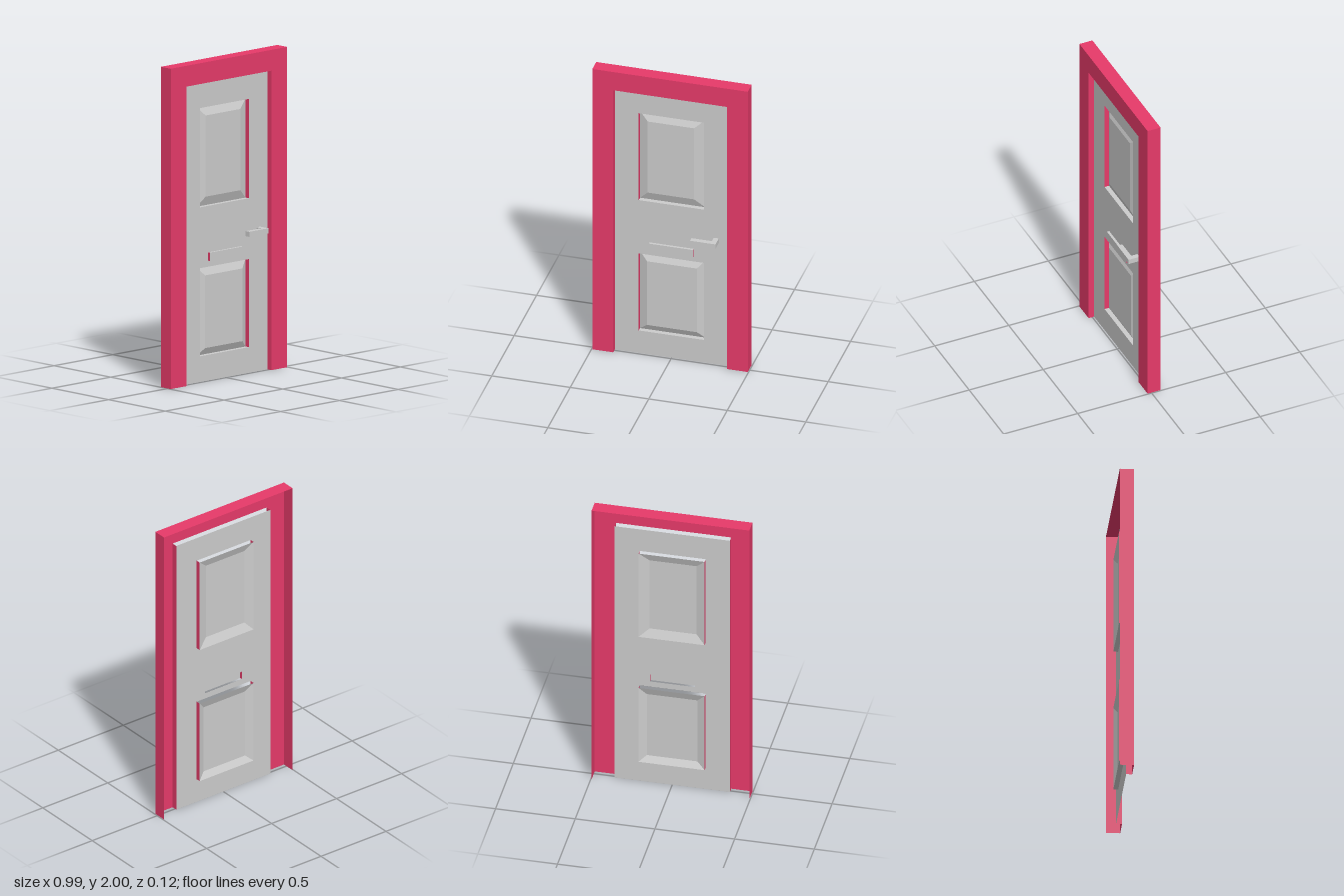
import * as THREE from 'three';

const mat = (color, side) => new THREE.MeshStandardMaterial({ color, side, flatShading: true });

// depths (z) of the layers, back to front
const Z = { back: -0.0625, rim: -0.042, field: -0.02, door: -0.012, slot: 0.004, front: 0.025, tip: 0.0625 };

const rectPoints = ([x0, x1, y0, y1]) =>
  [[x0, y0], [x1, y0], [x1, y1], [x0, y1]].map(([x, y]) => new THREE.Vector2(x, y));

export function createModel() {
  const model = new THREE.Group();
  const red = mat(0xe63a69, THREE.DoubleSide);
  const grey = mat(0xcccccc, THREE.DoubleSide);
  const greyFront = mat(0xcccccc, THREE.FrontSide);

  const add = (name, geometry, material, parent = model) => {
    const mesh = new THREE.Mesh(geometry, material);
    mesh.name = name;
    parent.add(mesh);
    return mesh;
  };

  // flat sheet facing +z, with optional rectangular holes
  const sheet = (name, points, z, material, parent, holes = []) => {
    const shape = new THREE.Shape(points);
    holes.forEach(h => shape.holes.push(new THREE.Path(rectPoints(h))));
    add(name, new THREE.ShapeGeometry(shape).translate(0, 0, z), material, parent);
  };

  // four-cornered face, corners anticlockwise from its front
  const quad = (name, [a, b, c, d], material, parent) => {
    const g = new THREE.BufferGeometry();
    g.setAttribute('position', new THREE.Float32BufferAttribute([...a, ...b, ...c, ...a, ...c, ...d], 3));
    g.computeVertexNormals();
    add(name, g, material, parent);
  };

  // side wall in the x plane, and level wall in the y plane (facing up or down)
  const sideWall = (name, x, y0, y1, z0, z1, parent) =>
    quad(name, [[x, y0, z1], [x, y0, z0], [x, y1, z0], [x, y1, z1]], red, parent);
  const levelWall = (name, y, x0, x1, z0, z1, up, material, parent) => {
    const c = [[x0, y, z1], [x1, y, z1], [x1, y, z0], [x0, y, z0]];
    quad(name, up ? c : c.reverse(), material, parent);
  };

  // frame: an open-backed shell around the doorway
  const W = 0.495, w = 0.362, H = 2, h = 1.87;
  const frame = new THREE.Group();
  frame.name = 'frame';
  model.add(frame);
  const arch = [[-W, 0], [-w, 0], [-w, h], [w, h], [w, 0], [W, 0], [W, H], [-W, H]]
    .map(([x, y]) => new THREE.Vector2(x, y));
  sheet('frameFace', arch, Z.front, red, frame);
  for (const s of [-1, 1]) {
    sideWall('frameSide', s * W, 0, H, Z.back, Z.front, frame);
    sideWall('doorwaySide', s * w, 0, h, Z.door, Z.front, frame);
  }
  levelWall('frameTop', H, -W, W, Z.back, Z.front, true, red, frame);
  levelWall('doorwayTop', h, -w, w, Z.door, Z.front, false, greyFront, frame);

  // door leaf with openings for two panels and the letter slot
  const panels = [
    { name: 'upperPanel', outer: [-0.21, 0.205, 1.09, 1.71], inner: [-0.155, 0.14, 1.148, 1.655] },
    { name: 'lowerPanel', outer: [-0.21, 0.205, 0.16, 0.71], inner: [-0.16, 0.158, 0.203, 0.657] },
  ];
  const slot = [-0.142, 0.14, 0.748, 0.8];
  sheet('doorLeaf', rectPoints([-w, w, 0, h]), Z.door, grey, model, [...panels.map(p => p.outer), slot]);

  // sunken panels with a bevelled raised field
  for (const { name, outer, inner } of panels) {
    const panel = new THREE.Group();
    panel.name = name;
    model.add(panel);
    const [x0, x1, y0, y1] = outer;
    sideWall('recessSide', x0, y0, y1, Z.rim, Z.door, panel);
    sideWall('recessSide', x1, y0, y1, Z.rim, Z.door, panel);
    levelWall('recessBottom', y0, x0, x1, Z.rim, Z.door, true, grey, panel);
    levelWall('recessTop', y1, x0, x1, Z.rim, Z.door, false, greyFront, panel);
    const o = rectPoints(outer).map(p => [p.x, p.y, Z.rim]);
    const i = rectPoints(inner).map(p => [p.x, p.y, Z.field]);
    for (let k = 0; k < 4; k++) {
      const n = (k + 1) % 4;
      quad('bevel', [o[k], o[n], i[n], i[k]], grey, panel);
    }
    sheet('field', rectPoints(inner), Z.field, grey, panel);
  }

  // raised letter slot
  const letterSlot = new THREE.Group();
  letterSlot.name = 'letterSlot';
  model.add(letterSlot);
  sheet('slotFlap', rectPoints(slot), Z.slot, grey, letterSlot);
  for (const x of slot.slice(0, 2)) sideWall('slotSide', x, slot[2], slot[3], Z.door, Z.slot, letterSlot);
  levelWall('slotTop', slot[3], slot[0], slot[1], Z.door, Z.slot, true, grey, letterSlot);
  levelWall('slotBottom', slot[2], slot[0], slot[1], Z.door, Z.slot, false, greyFront, letterSlot);

  // handle: an L of stem and grip
  const lever = new THREE.Shape([[0.3, Z.door], [0.3, Z.tip], [0.138, Z.tip], [0.138, 0.03], [0.268, 0.03], [0.268, Z.door]]
    .map(([x, z]) => new THREE.Vector2(x, -z)));
  const handle = new THREE.ExtrudeGeometry(lever, { depth: 0.032, bevelEnabled: false });
  handle.rotateX(-Math.PI / 2).translate(0, 0.868, 0);
  add('handle', handle, greyFront);

  return model;
}
